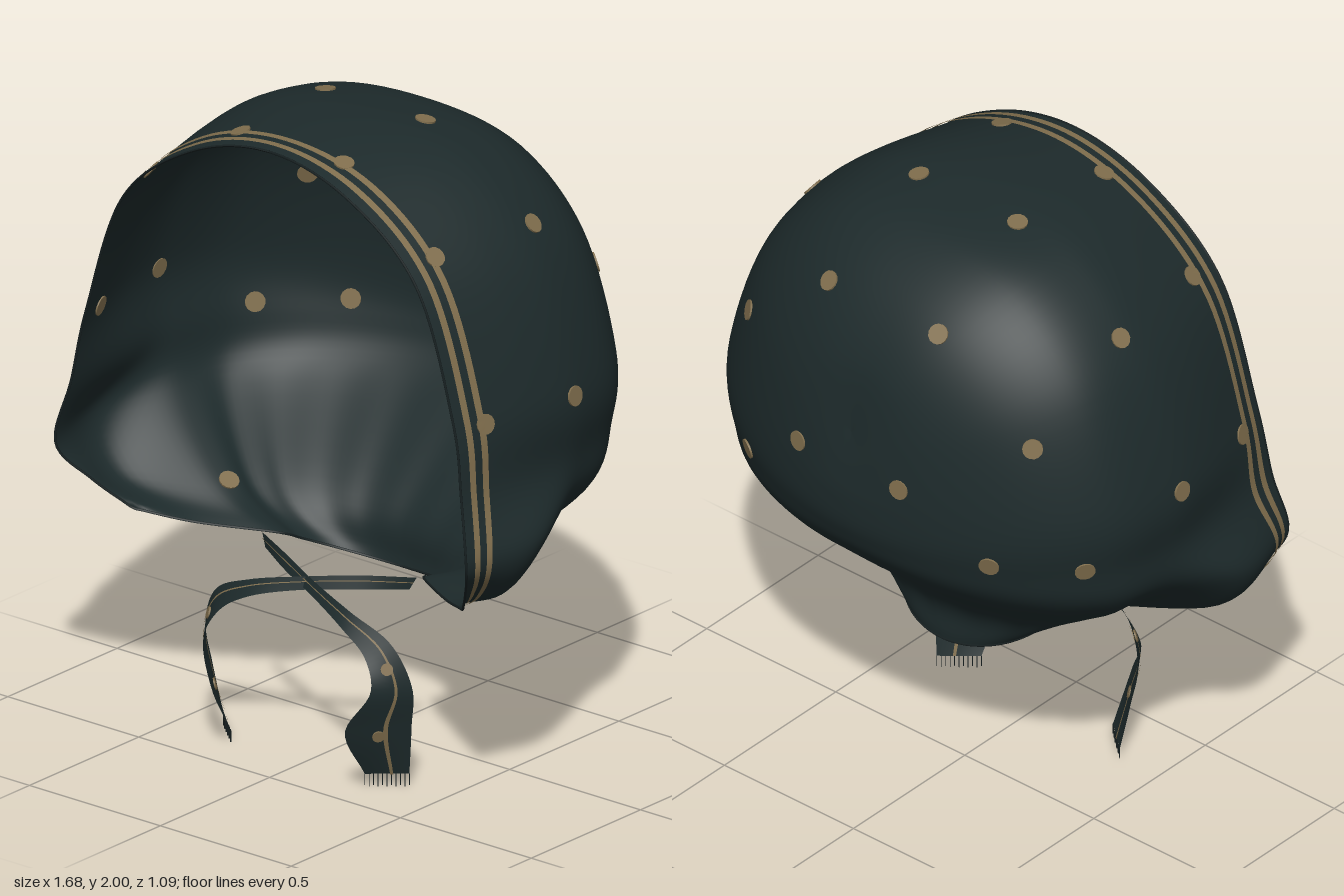
import * as THREE from 'three';
import { mergeGeometries, mergeVertices } from 'three/addons/utils/BufferGeometryUtils.js';

const V = (x, y, z) => new THREE.Vector3(x, y, z);

// Left half of the hood, each section running from crown to lower edge
const RIM = [V(0, 1.975, .5), V(.3, 1.9, .5), V(.56, 1.69, .5), V(.7, 1.3, .5),
  V(.745, 1.07, .515), V(.785, .87, .54), V(.715, .75, .46), V(.63, .65, .37)];
const TEMPLE = [V(0, 1.997, .22), V(.36, 1.93, .2), V(.63, 1.69, .2), V(.775, 1.3, .2),
  V(.78, 1.06, .2), V(.84, .875, .28), V(.725, .705, .3), V(.48, .615, .27)];
const MIDDLE = [V(0, 1.99, .03), V(.37, 1.93, .02), V(.64, 1.69, 0), V(.785, 1.3, 0),
  V(.775, 1.08, 0), V(.74, .9, .05), V(.48, .68, .14), V(.28, .59, .13)];
const SEAM = [[1.42, -.51], [1.38, -.52], [1.3, -.535], [1.19, -.545],
  [1.07, -.53], [.94, -.45], [.65, -.15], [.48, -.11]];

// The back is rounded by quarter ellipses from the middle section to the back seam
const SECTIONS = [RIM, TEMPLE, MIDDLE];
for (let k = 1; k <= 4; k++) {
  const c = Math.cos(k * Math.PI / 8), s = Math.sin(k * Math.PI / 8);
  SECTIONS.push(MIDDLE.map((m, j) => {
    const drop = j > 5 ? s : 1 - c;
    return V(k < 4 ? m.x * c : 0, m.y + (SEAM[j][0] - m.y) * drop, m.z + (SEAM[j][1] - m.z) * s);
  }));
}
const NU = SECTIONS.length - 1, NT = RIM.length - 1;

// Section point; past the crown or back seam it continues on the mirrored side
function control(i, j) {
  if (i < 0) return control(0, j).multiplyScalar(2).sub(control(1, j));
  if (j > NT) return control(i, NT).multiplyScalar(2).sub(control(i, NT - 1));
  let side = 1;
  if (i > NU) { i = 2 * NU - i; side = -side; }
  if (j < 0) { j = -j; side = -side; }
  const p = SECTIONS[i][j].clone();
  p.x *= side;
  return p;
}

function weights(f) {
  return [(-f + 2 * f * f - f ** 3) / 2, (2 - 5 * f * f + 3 * f ** 3) / 2,
    (f + 4 * f * f - 3 * f ** 3) / 2, (f ** 3 - f * f) / 2];
}

// Smooth cloth surface through the sections, with soft gathers near the neck
function hood(a, b) {
  const u = a * NU, t = b * NT;
  const i = Math.min(Math.floor(u), NU - 1), j = Math.min(Math.floor(t), NT - 1);
  const wu = weights(u - i), wt = weights(t - j), p = V(0, 0, 0);
  for (let m = 0; m < 4; m++)
    for (let n = 0; n < 4; n++) p.addScaledVector(control(i + m - 1, j + n - 1), wu[m] * wt[n]);
  const gather = THREE.MathUtils.smoothstep(u, 1, 3) * Math.max(0, 1 - Math.abs(t - 5.9));
  const k = 1 + .012 * gather * Math.cos((NU - u) * 8);
  p.x *= k;
  p.z *= k;
  return p;
}

function normalOf(f, a, b) {
  const e = .01;
  const da = f(Math.min(a + e, 1), b).sub(f(Math.max(a - e, 0), b));
  const db = f(a, Math.min(b + e, 1)).sub(f(a, Math.max(b - e, 0)));
  return db.cross(da).normalize();
}
const raised = (f, a, b, h) => f(a, b).addScaledVector(normalOf(f, a, b), h);

// Indexed sheet from a function of two parameters in 0..1
function sheet(f, na, nb) {
  const pos = [], idx = [];
  for (let i = 0; i <= na; i++)
    for (let j = 0; j <= nb; j++) pos.push(...f(i / na, j / nb).toArray());
  for (let i = 0; i < na; i++)
    for (let j = 0; j < nb; j++) {
      const p = i * (nb + 1) + j, q = p + nb + 1;
      idx.push(p, p + 1, q, q, p + 1, q + 1);
    }
  const g = new THREE.BufferGeometry();
  g.setAttribute('position', new THREE.Float32BufferAttribute(pos, 3));
  g.setIndex(idx);
  g.computeVertexNormals();
  return g;
}

function mirrored(g) {
  const m = g.clone().scale(-1, 1, 1), id = m.index.array;
  for (let i = 0; i < id.length; i += 3) [id[i], id[i + 1]] = [id[i + 1], id[i]];
  m.computeVertexNormals();
  return m;
}

// Joins a half with its mirror image into one smooth surface
function bothSides(g) {
  const halves = [g, mirrored(g)];
  halves.forEach(h => h.deleteAttribute('normal'));
  const m = mergeVertices(mergeGeometries(halves), 1e-4);
  m.computeVertexNormals();
  return m;
}

export function createModel() {
  const model = new THREE.Group();
  const mat = (name, color) => {
    const m = new THREE.MeshStandardMaterial({ color, side: THREE.DoubleSide });
    m.name = name;
    return m;
  };
  const cloth = mat('darkGreenCloth', 0x1d2a2b);
  const tan = mat('tanPrint', 0x806e4d);
  const thread = mat('darkThread', 0x161f20);
  const add = (name, geo, material, parent = model) => {
    const mesh = new THREE.Mesh(geo, material);
    mesh.name = name;
    parent.add(mesh);
    return mesh;
  };

  // Hood
  add('hood', bothSides(sheet(hood, 60, 56)), cloth);

  // Two printed stripes behind the front rim
  [.11, .26].forEach(u0 => {
    const f = (a, b) => raised(hood, (u0 + .07 * a) / NU, b * .97, .005);
    add('rimStripe', bothSides(sheet(f, 2, 64)), tan);
  });

  // Hem along the rim and neck edge
  const hemPoints = [];
  for (let i = 0; i <= 40; i++) hemPoints.push(hood(0, i / 40));
  for (let i = 1; i <= 40; i++) hemPoints.push(hood(i / 40, 1));
  const hem = new THREE.TubeGeometry(new THREE.CatmullRomCurve3(hemPoints), 120, .004, 5);
  add('hemLeft', hem, thread);
  add('hemRight', mirrored(hem), thread);

  // Printed dots, seen on both faces of the cloth
  const dots = [
    V(.2, 1.97, .02), V(.59, 1.76, .01), V(.78, 1.26, .05), V(.2, 1.77, -.35),
    V(.53, 1.52, -.33), V(.19, 1.3, -.52), V(.45, 1.12, -.4), V(.19, 1.96, .385),
    V(.55, 1.74, .385), V(.74, 1.27, .39), V(.5, .66, .1),
  ];
  const samples = [];
  for (let i = 1; i < 70; i++)
    for (let j = 0; j < 70; j++) samples.push({ a: i / 70, b: j / 70, p: hood(i / 70, j / 70) });
  const dotGeo = new THREE.CylinderGeometry(.031, .031, .0095, 14);
  const placeDot = (name, parent, p, n, side) => {
    const dot = add(name, dotGeo, tan, parent);
    dot.position.set(p.x * side, p.y, p.z);
    dot.quaternion.setFromUnitVectors(V(0, 1, 0), V(n.x * side, n.y, n.z));
    return dot;
  };
  const printDot = (d, sides) => {
    const best = samples.reduce((m, s) =>
      s.p.distanceToSquared(d) < m.p.distanceToSquared(d) ? s : m);
    const n = normalOf(hood, best.a, best.b);
    sides.forEach(side => placeDot('dot', model, best.p, n, side));
  };
  dots.forEach(d => printDot(d, [1, -1]));
  printDot(V(.67, 1.11, -.24), [-1]);

  // Crossed ties with a printed line, dots and a fringed end
  const outer = new THREE.CatmullRomCurve3([
    V(-.29, .605, .18), V(-.14, .595, .25), V(.03, .57, .32), V(.2, .53, .36),
    V(.34, .46, .345), V(.4, .33, .32), V(.385, .2, .305), V(.36, .04, .285)]);
  const inner = new THREE.CatmullRomCurve3([
    V(-.27, .565, .19), V(-.13, .555, .27), V(.04, .53, .34), V(.19, .485, .39),
    V(.285, .42, .4), V(.325, .33, .42), V(.26, .2, .46), V(.26, .04, .37)]);
  const ribbon = (a, b) => outer.getPoint(a).lerp(inner.getPoint(a), b);
  const ribbonGeo = sheet(ribbon, 48, 4);
  const lines = [.004, -.004].map(h =>
    sheet((a, b) => raised(ribbon, a, .36 + b * .07, h), 48, 1));
  [1, -1].forEach(side => {
    const tie = new THREE.Group();
    tie.name = side > 0 ? 'tieLeft' : 'tieRight';
    tie.position.z = side * .006;
    model.add(tie);
    const pick = g => (side > 0 ? g : mirrored(g));
    add('ribbon', pick(ribbonGeo), cloth, tie);
    lines.forEach(g => add('ribbonLine', pick(g), tan, tie));
    [.64, .88].forEach(a =>
      placeDot('ribbonDot', tie, ribbon(a, .5), normalOf(ribbon, a, .5), side).scale.set(.6, 1, .6));
    for (let i = 0; i <= 10; i++) {
      const p = ribbon(1, i / 10), len = .035 + .005 * (i % 2);
      const strand = add('fringe', new THREE.CylinderGeometry(.0015, .0015, len, 4), thread, tie);
      strand.position.set(p.x * side, p.y - len / 2, p.z);
    }
  });
  return model;
}
